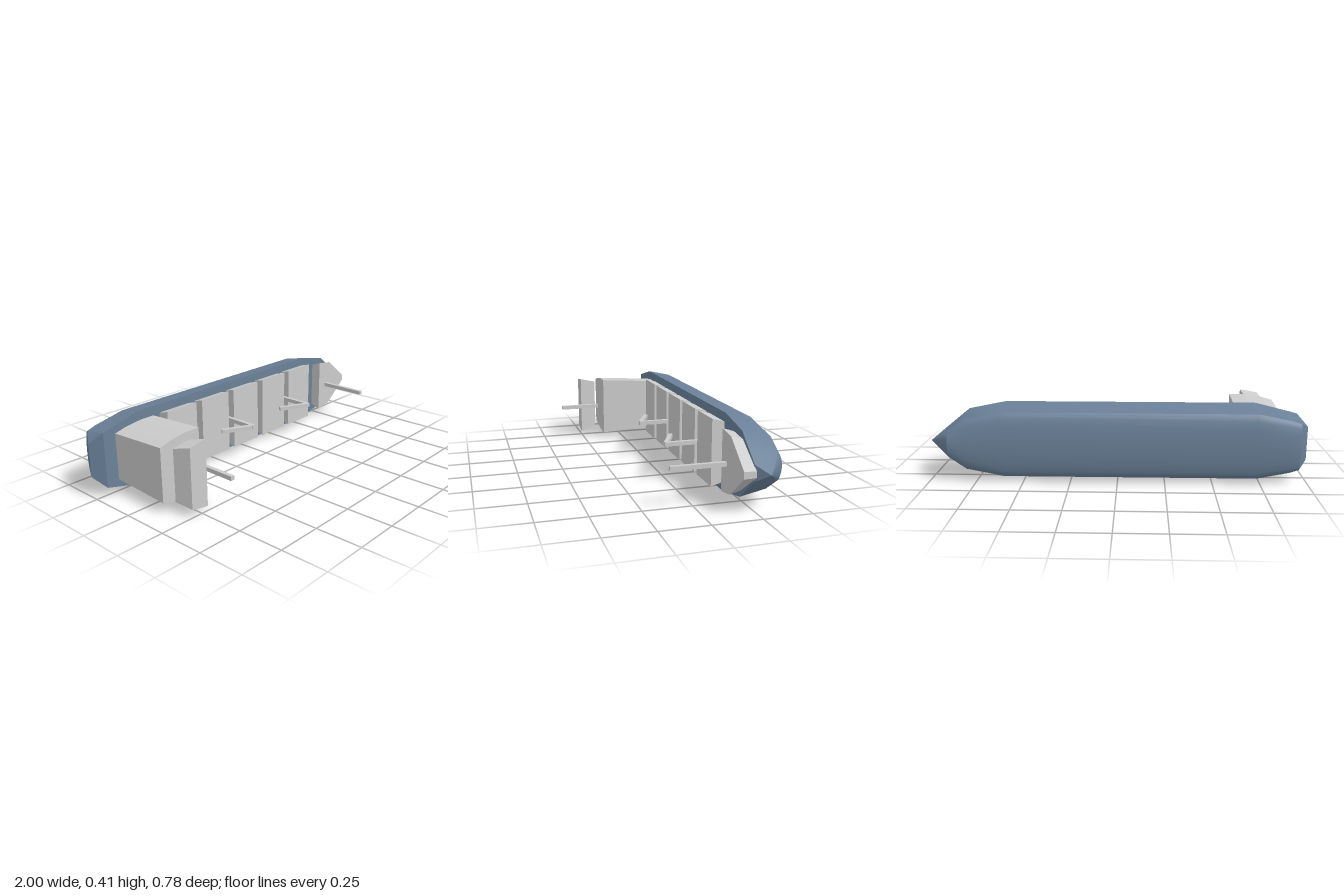
import * as THREE from 'three';
import { toCreasedNormals } from 'three/addons/utils/BufferGeometryUtils.js';

const MID = 0.205; // height of the ship's centreline; the ship's deck faces +z
const grey = new THREE.MeshStandardMaterial({ color: 0xcccccc });
const blue = new THREE.MeshStandardMaterial({ color: 0x6a8098 });

function add(parent, name, geometry, material = grey) {
  const mesh = new THREE.Mesh(geometry, material);
  mesh.name = name;
  parent.add(mesh);
  return mesh;
}

// Hull lofted along x through mirrored cross-sections
function hullGeometry() {
  // x, deck z, deck half width, bilge z, bilge half width, keel z
  const stations = [
    [-1, -0.28, 0.09, -0.28, 0.09, -0.28],
    [-0.95, -0.22, 0.148, -0.353, 0.125, -0.374],
    [-0.9, -0.22, 0.161, -0.355, 0.14, -0.387],
    [-0.73, -0.22, 0.204, -0.355, 0.174, -0.39],
    [0.6, -0.22, 0.204, -0.355, 0.174, -0.39],
    [0.8, -0.22, 0.163, -0.355, 0.135, -0.39],
    [0.89, -0.22, 0.09, -0.355, 0.072, -0.387],
    [0.95, -0.22, 0.041, -0.318, 0.032, -0.33],
    [1, -0.28, 0, -0.28, 0, -0.28],
  ];
  // Bottom curve: fraction of bilge width, fraction of depth below bilge
  const curve = [[1, 0], [0.92, 0.36], [0.8, 0.6], [0.55, 0.82], [0.28, 0.95], [0, 1]];
  const full = [...curve, ...curve.slice(0, -1).reverse().map(([w, d]) => [-w, d])];
  const n = full.length + 2;
  const pos = [], index = [];
  stations.forEach(([x, dz, dw, bz, bw, kz], i) => {
    pos.push(x, MID - dw, dz, x, MID + dw, dz);
    for (const [w, d] of full) pos.push(x, MID + bw * w, bz + (kz - bz) * d);
    if (i === stations.length - 1) return;
    for (let j = 0; j < n; j++) {
      const a = i * n + j, c = i * n + (j + 1) % n;
      index.push(a, a + n, c, c, a + n, c + n);
    }
  });
  // Close the narrow stern edge
  const g = new THREE.BufferGeometry();
  g.setAttribute('position', new THREE.Float32BufferAttribute(pos, 3));
  g.setIndex(index);
  return toCreasedNormals(g, 0.5);
}

// Block with a mirrored plan [x, half width], narrower at its base and optionally raked in x
function block(plan, z0, z1, baseScale, rake = 0) {
  const pts = [...plan.map(([x, w]) => [x, -w]), ...plan.slice().reverse()];
  const shape = new THREE.Shape(pts.map(([x, y]) => new THREE.Vector2(x, y)));
  const g = new THREE.ExtrudeGeometry(shape, { depth: z1 - z0, bevelEnabled: false });
  const p = g.attributes.position;
  for (let i = 0; i < p.count; i++) {
    const t = p.getZ(i) / (z1 - z0);
    p.setX(i, p.getX(i) + rake * t);
    p.setY(i, p.getY(i) * THREE.MathUtils.lerp(baseScale, 1, t) + MID);
  }
  g.translate(0, 0, z0);
  g.computeVertexNormals();
  return g;
}

// Square bar between two points in the x-z plane
function bar(parent, name, x0, z0, x1, z1) {
  const mesh = add(parent, name, new THREE.BoxGeometry(0.022, 0.022, Math.hypot(x1 - x0, z1 - z0)));
  mesh.position.set((x0 + x1) / 2, MID, (z0 + z1) / 2);
  mesh.rotation.y = Math.atan2(x1 - x0, z1 - z0);
}

export function createModel() {
  const ship = new THREE.Group();
  ship.name = 'cargoShip';
  add(ship, 'hull', hullGeometry(), blue);

  // Cargo hatches along the deck
  for (let i = 0; i < 5; i++) {
    const x = -0.595 + i * 0.245;
    add(ship, 'cargoHatch', block([[x, 0.175], [x + 0.204, 0.175]], -0.23, -0.155, 0.88));
  }

  // Raised foredeck following the bow
  add(ship, 'foredeck', block([[0.71, 0.157], [0.815, 0.142], [0.97, 0.018]], -0.222, -0.16, 0.87));

  // Bridge tower and raked funnel block
  add(ship, 'bridge', block([[-0.88, 0.143], [-0.82, 0.16], [-0.72, 0.175], [-0.635, 0.175]], -0.225, 0.122, 0.87));
  add(ship, 'funnel', block([[-0.835, 0.158], [-0.78, 0.169], [-0.735, 0.175]], 0.16, 0.255, 0.86, 0.02));

  // Deck cranes with folded jibs
  for (const x of [-0.125, 0.365]) {
    const crane = new THREE.Group();
    crane.name = 'crane';
    bar(crane, 'cranePost', x, -0.23, x, 0.02);
    bar(crane, 'craneJib', x, 0.012, x - 0.165, -0.068);
    ship.add(crane);
  }

  // Fore and aft masts
  bar(ship, 'foreMast', 0.775, -0.155, 0.775, 0.125);
  bar(ship, 'aftMast', -0.675, 0.155, -0.675, 0.388);
  return ship;
}
